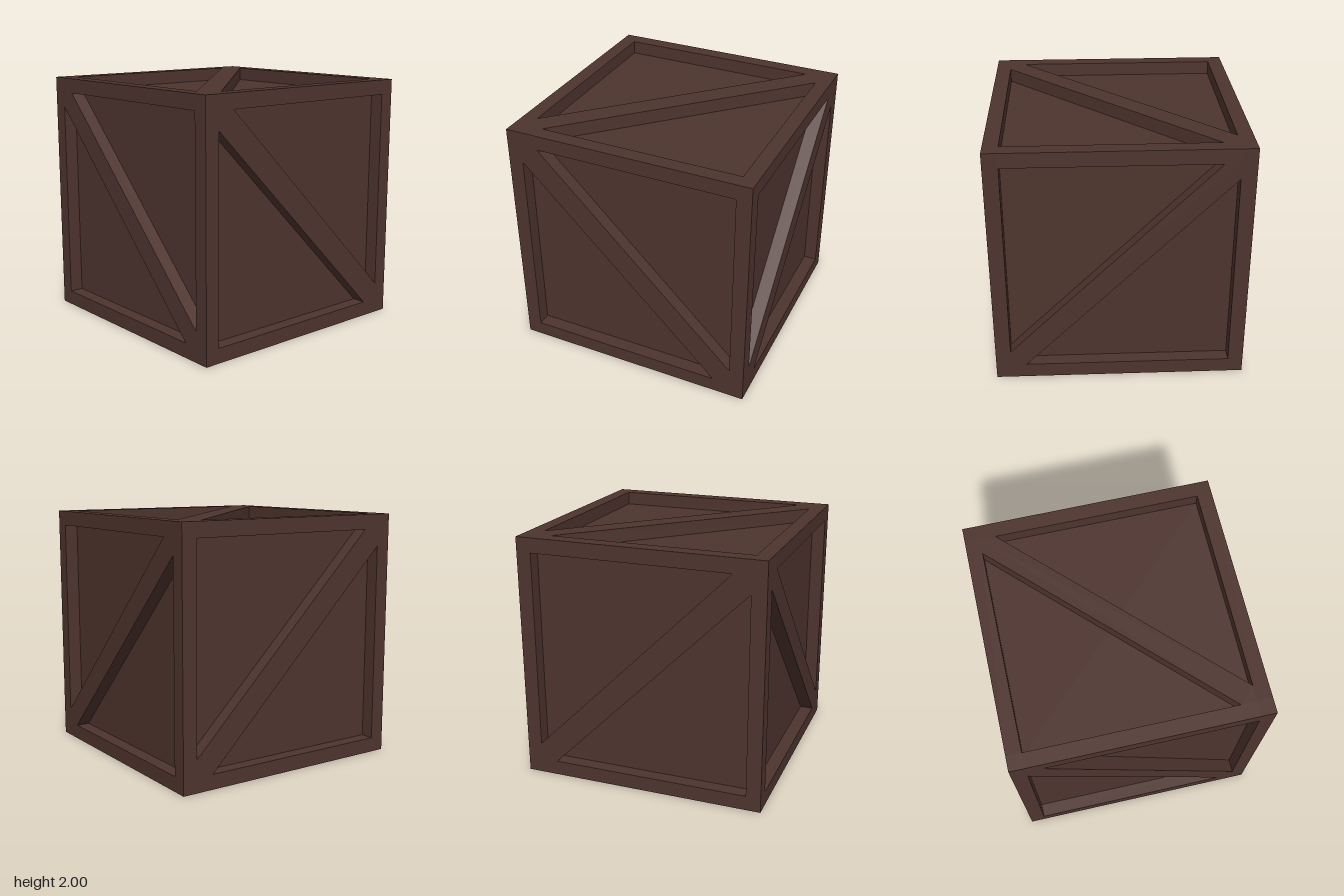
import * as THREE from 'three';

const BEAM = 0.12;            // square section of the frame beams
const INNER = 1 - BEAM;       // half width of each framed opening
const DEPTH = 0.11;           // recess of the panels

export function createModel() {
  const crate = new THREE.Group();
  crate.name = 'crate';
  const wood = new THREE.MeshStandardMaterial({ color: 0x4e342e });
  wood.name = 'darkWood';

  const add = (name, geometry, x, y, z) => {
    const mesh = new THREE.Mesh(geometry, wood);
    mesh.name = name;
    mesh.position.set(x, y, z);
    crate.add(mesh);
    return mesh;
  };

  // Recessed panels: one solid core
  const core = 2 * (1 - DEPTH);
  add('panels', new THREE.BoxGeometry(core, core, core), 0, 1, 0);

  // Frame: full-height posts with rails fitted between them
  const mid = 1 - BEAM / 2;
  const post = new THREE.BoxGeometry(BEAM, 2, BEAM);
  const railX = new THREE.BoxGeometry(2 * INNER, BEAM, BEAM);
  const railZ = new THREE.BoxGeometry(BEAM, BEAM, 2 * INNER);
  for (const a of [-1, 1]) {
    for (const b of [-1, 1]) {
      add('cornerPost', post, a * mid, 1, b * mid);
      add('crossRail', railX, 0, 1 + a * mid, b * mid);
      add('sideRail', railZ, a * mid, 1 + b * mid, 0);
    }
  }

  // Diagonal brace running from upper left to lower right, pointed into the corners
  const brace = (w) => {
    const h = INNER;
    const shape = new THREE.Shape([
      [-h, h], [-h, h - w], [h - w, -h], [h, -h], [h, w - h], [w - h, h],
    ].map(([x, y]) => new THREE.Vector2(x, y)));
    return new THREE.ExtrudeGeometry(shape, { depth: DEPTH, bevelEnabled: false });
  };
  const braceNarrow = brace(0.125);
  const braceWide = brace(0.14);
  const seat = 1 - DEPTH;

  // Braces on the four sides and the top; the underside is left open
  add('frontBrace', braceNarrow, 0, 1, seat);
  add('backBrace', braceNarrow, 0, 1, -1);
  add('leftBrace', braceWide, seat, 1, 0).rotation.y = Math.PI / 2;
  add('rightBrace', braceWide, -1, 1, 0).rotation.y = Math.PI / 2;
  add('topBrace', braceNarrow, 0, 1 + seat, 0).rotation.x = -Math.PI / 2;

  return crate;
}
